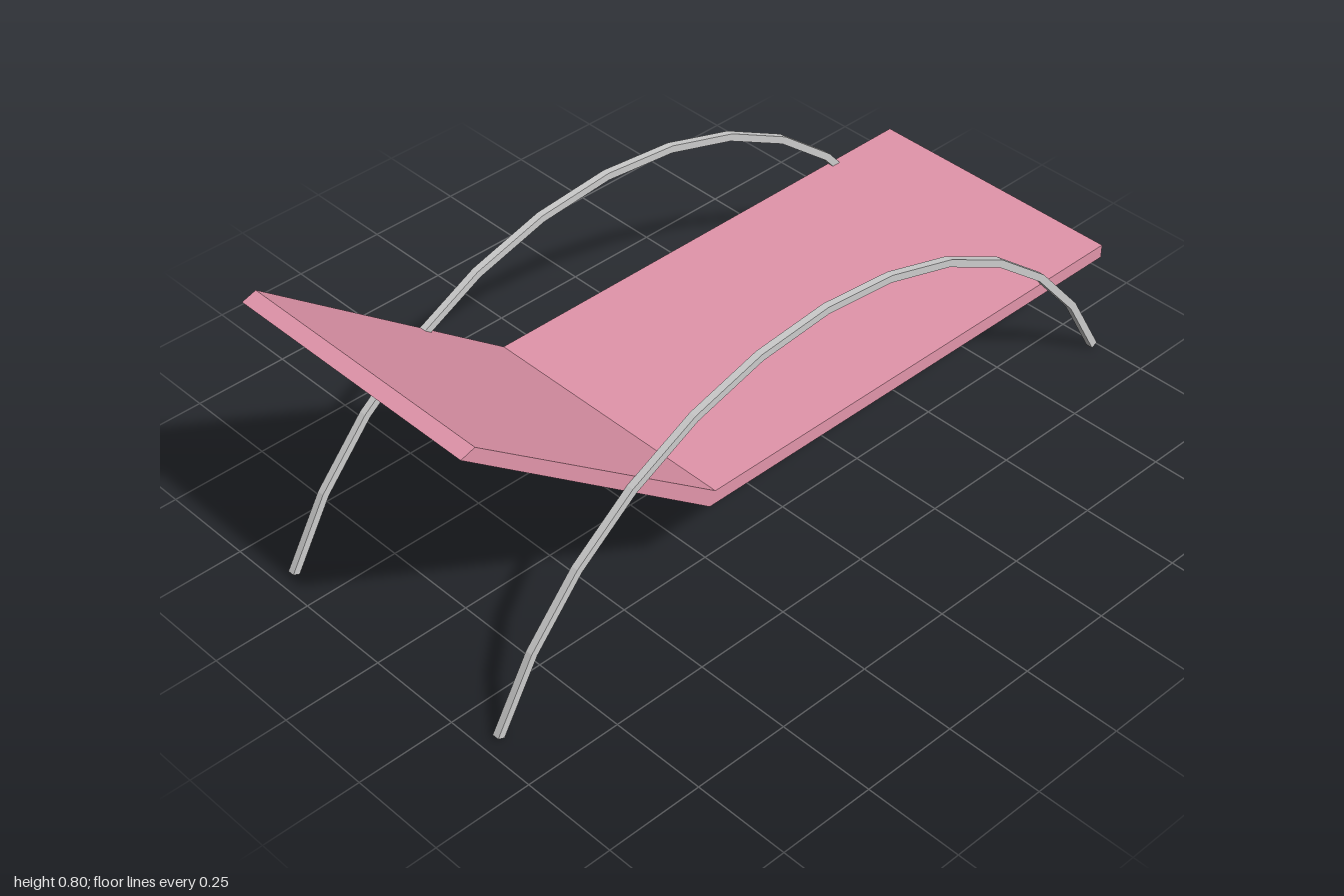
import * as THREE from 'three';

const grey = new THREE.MeshStandardMaterial({ color: 0xcccccc, flatShading: true });
const pink = new THREE.MeshStandardMaterial({ color: 0xe295ab, flatShading: true });

// Extrude a side profile (x, y) between two z positions
function slab(name, points, z0, z1, material) {
  const shape = new THREE.Shape(points.map(([x, y]) => new THREE.Vector2(x, y)));
  const geo = new THREE.ExtrudeGeometry(shape, { depth: z1 - z0, bevelEnabled: false });
  geo.translate(0, 0, z0);
  const mesh = new THREE.Mesh(geo, material);
  mesh.name = name;
  return mesh;
}

// Faceted arch outline: outer arc one way, inner arc back
function archProfile() {
  const segments = 12, half = THREE.MathUtils.degToRad(65.4);
  const cx = 0.015, cy = -0.441, outerR = 1.0785, innerR = 1.0595;
  const outer = [], inner = [];
  for (let i = 0; i <= segments; i++) {
    const a = half * (1 - (2 * i) / segments);
    const s = Math.sin(a), c = Math.cos(a);
    outer.push([cx + outerR * s, cy + outerR * c]);
    inner.unshift([cx + innerR * s, cy + innerR * c]);
  }
  return [...outer, ...inner];
}

export function createModel() {
  const group = new THREE.Group();
  group.name = 'lounger';

  // Flat seat and reclined back meet on a mitred joint
  const zBack = -0.362, zFront = 0.345;
  group.add(slab('seat', [
    [-0.327, 0.26], [1, 0.26], [1, 0.296], [-0.31, 0.296],
  ], zBack, zFront, pink));
  group.add(slab('backrest', [
    [-0.327, 0.26], [-0.31, 0.296], [-0.963, 0.802], [-1, 0.79],
  ], zBack, zFront, pink));

  // Arched legs that double as armrests
  const arch = archProfile();
  group.add(slab('frontArch', arch, 0.345, 0.363, grey));
  group.add(slab('rearArch', arch, -0.363, -0.345, grey));

  return group;
}
